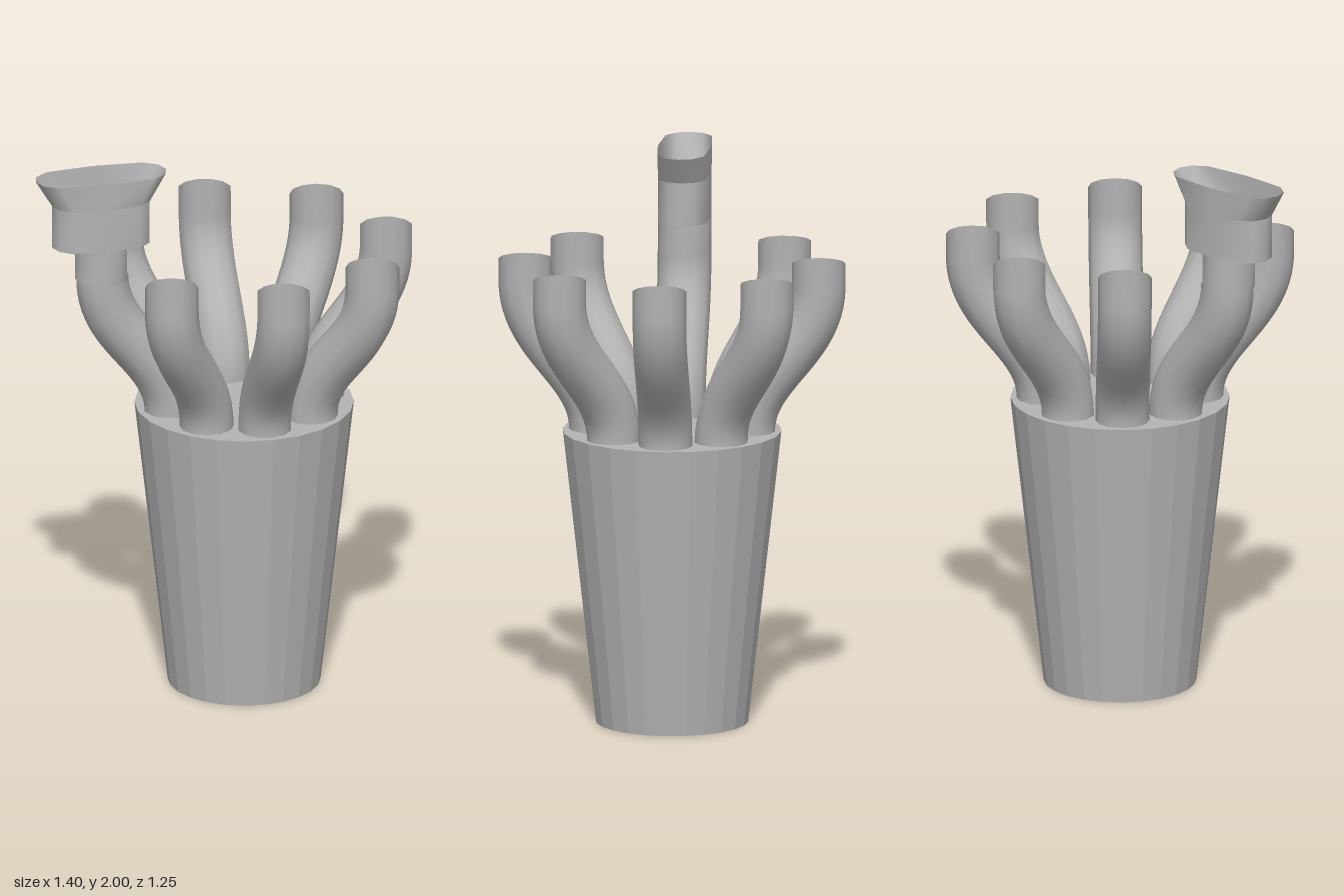
import * as THREE from 'three';

const CX = 0.075;     // axis of the cup
const R = 0.097;      // tube radius
const SIDES = 12;

// Open loft through rings of [y, halfWidthX, squareness], centred on x, z = 0
function loft(rings) {
  const pos = [], index = [], n = SIDES;
  for (const [y, halfX, power] of rings) {
    for (let i = 0; i < n; i++) {
      const a = (i / n) * Math.PI * 2, c = Math.cos(a);
      pos.push(Math.sign(c) * Math.pow(Math.abs(c), power) * halfX, y, Math.sin(a) * R);
    }
  }
  for (let r = 0; r < rings.length - 1; r++) {
    for (let i = 0; i < n; i++) {
      const a = r * n + i, b = r * n + (i + 1) % n;
      index.push(a, a + n, b, b, a + n, b + n);
    }
  }
  const g = new THREE.BufferGeometry();
  g.setAttribute('position', new THREE.Float32BufferAttribute(pos, 3));
  g.setIndex(index);
  g.computeVertexNormals();
  return g;
}

// S-shaped pipe that leans outwards from the cup and ends upright
function pipeGeometry(topY) {
  const path = new THREE.CurvePath();
  path.add(new THREE.CubicBezierCurve3(
    new THREE.Vector3(0.275, 1.07, 0), new THREE.Vector3(0.275, 1.29, 0),
    new THREE.Vector3(0.53, 1.37, 0), new THREE.Vector3(0.53, 1.61, 0)));
  if (topY > 1.61) {
    path.add(new THREE.LineCurve3(new THREE.Vector3(0.53, 1.61, 0), new THREE.Vector3(0.53, topY, 0)));
  }
  return new THREE.TubeGeometry(path, 24, R, SIDES, false);
}

export function createModel() {
  const group = new THREE.Group();
  const grey = new THREE.MeshStandardMaterial({ color: 0xb4b4b4, side: THREE.DoubleSide });
  grey.name = 'grey';
  const greyFaceted = new THREE.MeshStandardMaterial({ color: 0xb4b4b4, side: THREE.DoubleSide, flatShading: true });
  greyFaceted.name = 'greyFaceted';

  const add = (name, geometry, material, x = 0, y = 0) => {
    const mesh = new THREE.Mesh(geometry, material);
    mesh.name = name;
    mesh.position.set(x, y, 0);
    group.add(mesh);
    return mesh;
  };

  // Tapered cup, open underneath, closed on top
  add('cupWall', new THREE.CylinderGeometry(0.395, 0.275, 1.07, 24, 1, true), greyFaceted, CX, 0.535);
  const lid = new THREE.CircleGeometry(0.395, 24, Math.PI / 2);
  lid.rotateX(-Math.PI / 2);
  add('cupTop', lid, grey, CX, 1.07);

  // Ring of eight pipes; the one on the right carries the nozzle
  for (let i = 0; i < 8; i++) {
    const pipe = add('pipe' + (i + 1), pipeGeometry(i === 4 ? 1.61 : 1.69), grey, CX);
    pipe.rotation.y = i * Math.PI / 4;
  }

  // Nozzle: round neck, flat oval body and flared mouth, all open
  const nx = -0.46;
  add('nozzleNeck', loft([[1.61, R, 1], [1.74, R, 1]]), grey, nx);
  add('nozzleBody', loft([[1.74, 0.182, 0.55], [1.9, 0.182, 0.55]]), grey, nx);
  add('nozzleMouth', loft([[1.9, 0.182, 0.55], [2, 0.243, 0.45]]), grey, nx);

  return group;
}
